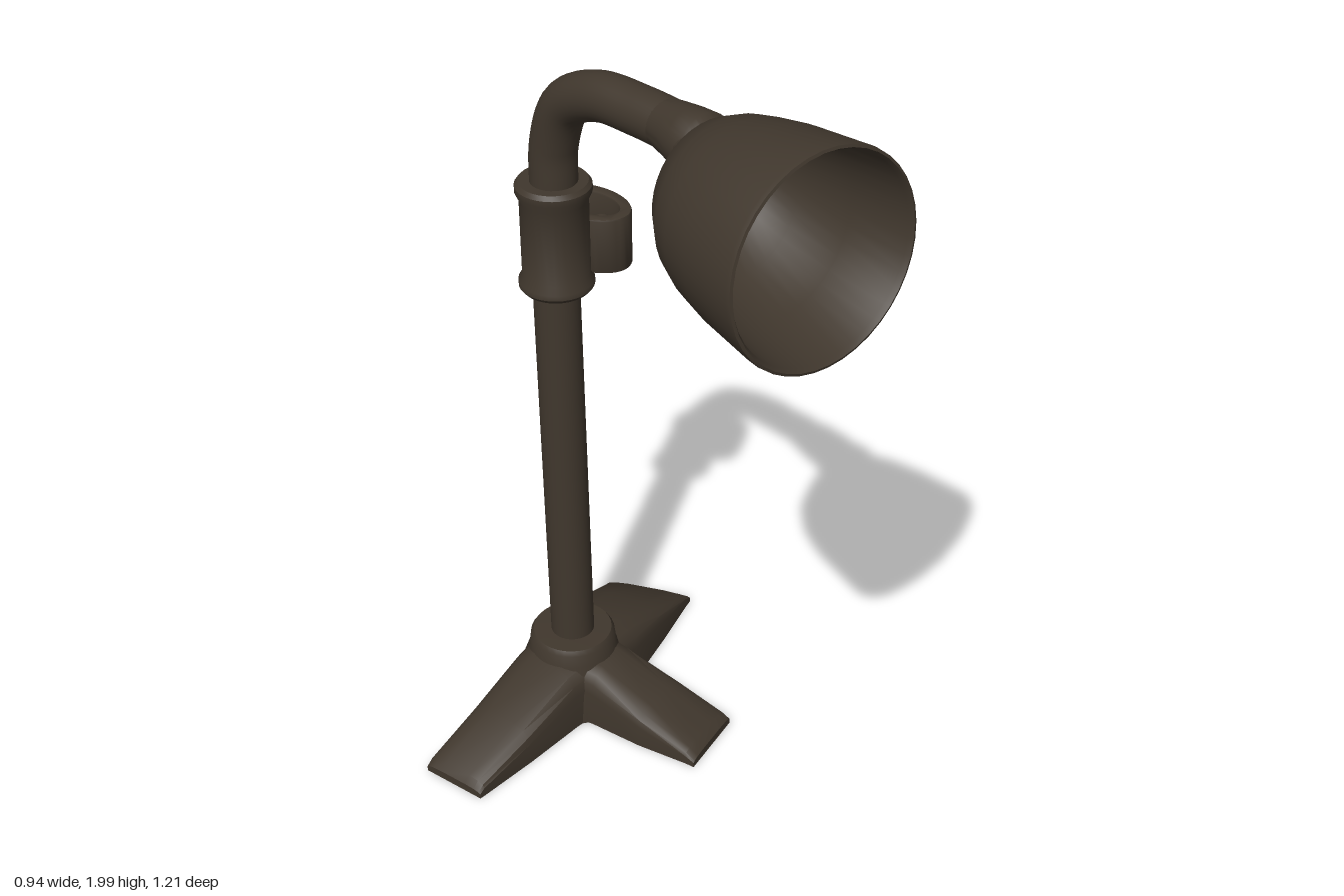
import * as THREE from 'three';
import { toCreasedNormals } from 'three/addons/utils/BufferGeometryUtils.js';

const V = (x, y, z) => new THREE.Vector3(x, y, z);

// Skin a list of equal-length rings, each counter-clockwise seen from the direction of advance
function loft(rings, crease) {
  const n = rings[0].length, index = [];
  for (let i = 0; i < rings.length - 1; i++) {
    for (let j = 0; j < n; j++) {
      const k = (j + 1) % n;
      const a = i * n + j, b = i * n + k, c = a + n, d = b + n;
      index.push(a, b, d, a, d, c);
    }
  }
  const geo = new THREE.BufferGeometry().setFromPoints(rings.flat());
  geo.setIndex(index);
  return toCreasedNormals(geo, crease);
}

// Tilted circle in the lamp head; centre at (x, z), height y
function headRing(x, z, r, y = 1.772, squash = 0.94) {
  return Array.from({ length: 40 }, (_, i) => {
    const t = (i / 40) * Math.PI * 2, c = Math.cos(t) * r, s = Math.sin(t) * r * squash;
    return V(x + c * 0.995, y + s, z + c * 0.1 - s * 0.08);
  });
}

// Rounded-top leg section spanning plan points a to b, height h
function legRing([ax, az, bx, bz, h, y0 = 0]) {
  const profile = [[0, 0], [1, 0], [1, 0.62], [0.97, 0.8], [0.88, 0.93], [0.72, 1],
    [0.28, 1], [0.12, 0.93], [0.03, 0.8], [0, 0.62]];
  return profile.map(([t, v]) => V(ax + (bx - ax) * t, y0 + (h - y0) * v, az + (bz - az) * t));
}

export function createModel() {
  const model = new THREE.Group();
  const bronze = new THREE.MeshStandardMaterial({ color: 0x40372d, side: THREE.DoubleSide });
  bronze.name = 'darkBronze';
  const add = (name, geo, x = 0, y = 0, z = 0) => {
    const mesh = new THREE.Mesh(geo, bronze);
    mesh.name = name;
    mesh.position.set(x, y, z);
    model.add(mesh);
    return mesh;
  };
  const lathe = (pts) => toCreasedNormals(
    new THREE.LatheGeometry(pts.map((p) => new THREE.Vector2(...p)), 32), 0.6);

  // Three splayed feet: plan corners and height from hub to tip
  const legs = {
    rightLeg: [[0, -0.49, 0, -0.26, 0.175], [-0.12, -0.465, -0.1, -0.262, 0.165],
      [-0.29, -0.442, -0.27, -0.253, 0.1], [-0.45, -0.424, -0.43, -0.25, 0.04],
      [-0.47, -0.42, -0.445, -0.25, 0.022], [-0.457, -0.335, -0.457, -0.335, 0.005]],
    leftLeg: [[0, -0.27, 0, -0.49, 0.175], [0.14, -0.285, 0.1, -0.512, 0.165],
      [0.3, -0.34, 0.23, -0.56, 0.105], [0.44, -0.392, 0.335, -0.594, 0.045],
      [0.465, -0.4, 0.35, -0.6, 0.022], [0.407, -0.5, 0.407, -0.5, 0.005]],
    frontLeg: [[-0.1, -0.36, 0.1, -0.38, 0.175], [-0.065, -0.24, 0.108, -0.27, 0.16],
      [-0.04, -0.1, 0.145, -0.13, 0.1], [-0.005, 0.03, 0.178, -0.01, 0.04],
      [0, 0.055, 0.182, 0.01, 0.022], [0.09, 0.032, 0.09, 0.032, 0.005]],
  };
  for (const [name, sections] of Object.entries(legs)) add(name, loft(sections.map(legRing), 0.6));

  // Hub and socket where the feet meet the pole
  add('baseHub', lathe([[0, 0], [0.14, 0], [0.135, 0.1], [0.112, 0.165], [0.108, 0.2],
    [0.1, 0.212], [0.05, 0.214], [0, 0.214]]), 0, 0, -0.375);

  // Pole, leaning very slightly backward
  const poleLine = new THREE.LineCurve3(V(0, 0.15, -0.374), V(0, 1.28, -0.387));
  add('pole', new THREE.TubeGeometry(poleLine, 1, 0.055, 28));

  // Flanged collar
  add('collar', lathe([[0, 1.23], [0.08, 1.23], [0.088, 1.24], [0.088, 1.253], [0.079, 1.268],
    [0.079, 1.46], [0.088, 1.48], [0.088, 1.495], [0.08, 1.505], [0.05, 1.505]]), 0, 0, -0.384);

  // Oval cable clip on the collar
  const oval = new THREE.Shape().absellipse(0, 0, 0.07, 0.108, 0, Math.PI * 2);
  oval.holes.push(new THREE.Path().absellipse(0, 0, 0.052, 0.09, 0, Math.PI * 2, true));
  const clipGeo = new THREE.ExtrudeGeometry(oval, {
    depth: 0.13, bevelThickness: 0.005, bevelSize: 0.005, bevelSegments: 2, curveSegments: 24,
  });
  const clip = add('cableClip', toCreasedNormals(clipGeo, 0.7), 0.115, 1.265, -0.395);
  clip.rotation.set(-Math.PI / 2, 0, 0.12);
  const knob = add('clipKnob', new THREE.SphereGeometry(0.034, 20, 14), 0.125, 1.33, -0.36);
  knob.scale.y = 1.3;
  const screw = add('clipScrew', new THREE.CylinderGeometry(0.022, 0.022, 0.1, 16), 0.085, 1.33, -0.41);
  screw.rotation.z = Math.PI / 2;

  // Curved arm
  const armPath = new THREE.CatmullRomCurve3([V(0, 1.25, -0.386), V(0, 1.5, -0.382),
    V(0, 1.6, -0.376), V(-0.002, 1.708, -0.33), V(-0.005, 1.763, -0.225),
    V(-0.007, 1.772, -0.1), V(-0.01, 1.77, 0.03)]);
  add('arm', new THREE.TubeGeometry(armPath, 48, 0.055, 28));

  // Swivel joint at the arm end, with tab and bolt
  add('swivelJoint', loft([[-0.008, -0.03, 0.054], [-0.015, 0.02, 0.062], [-0.023, 0.06, 0.069],
    [-0.028, 0.105, 0.072], [-0.032, 0.125, 0.062], [-0.035, 0.13, 0]]
    .map(([x, z, r]) => headRing(x, z, r, 1.77, 1)), 0.7));
  add('swivelTab', new THREE.BoxGeometry(0.032, 0.115, 0.12), -0.004, 1.77, 0.155);
  const bolt = add('swivelBolt', new THREE.CylinderGeometry(0.026, 0.026, 0.04, 16), 0.032, 1.76, 0.085);
  bolt.rotation.z = Math.PI / 2;

  // Bell shade: outside from neck to rim, then back along the inside
  const shade = [[-0.045, 0.08, 0], [-0.045, 0.08, 0.05], [-0.062, 0.135, 0.058], [-0.075, 0.172, 0.072],
    [-0.118, 0.202, 0.118], [-0.15, 0.24, 0.155], [-0.17, 0.3, 0.187], [-0.182, 0.355, 0.204],
    [-0.192, 0.43, 0.22], [-0.21, 0.568, 0.237], [-0.211, 0.578, 0.236], [-0.211, 0.58, 0.23],
    [-0.21, 0.57, 0.223], [-0.192, 0.43, 0.206], [-0.17, 0.31, 0.176], [-0.15, 0.255, 0.14],
    [-0.125, 0.225, 0.095], [-0.12, 0.222, 0]];
  add('shade', loft(shade.map(([x, z, r]) => headRing(x, z, r)), 0.7));

  // Lamp holder inside the shade
  add('lampHolder', new THREE.SphereGeometry(0.036, 20, 14), -0.1, 1.762, 0.235);

  return model;
}
